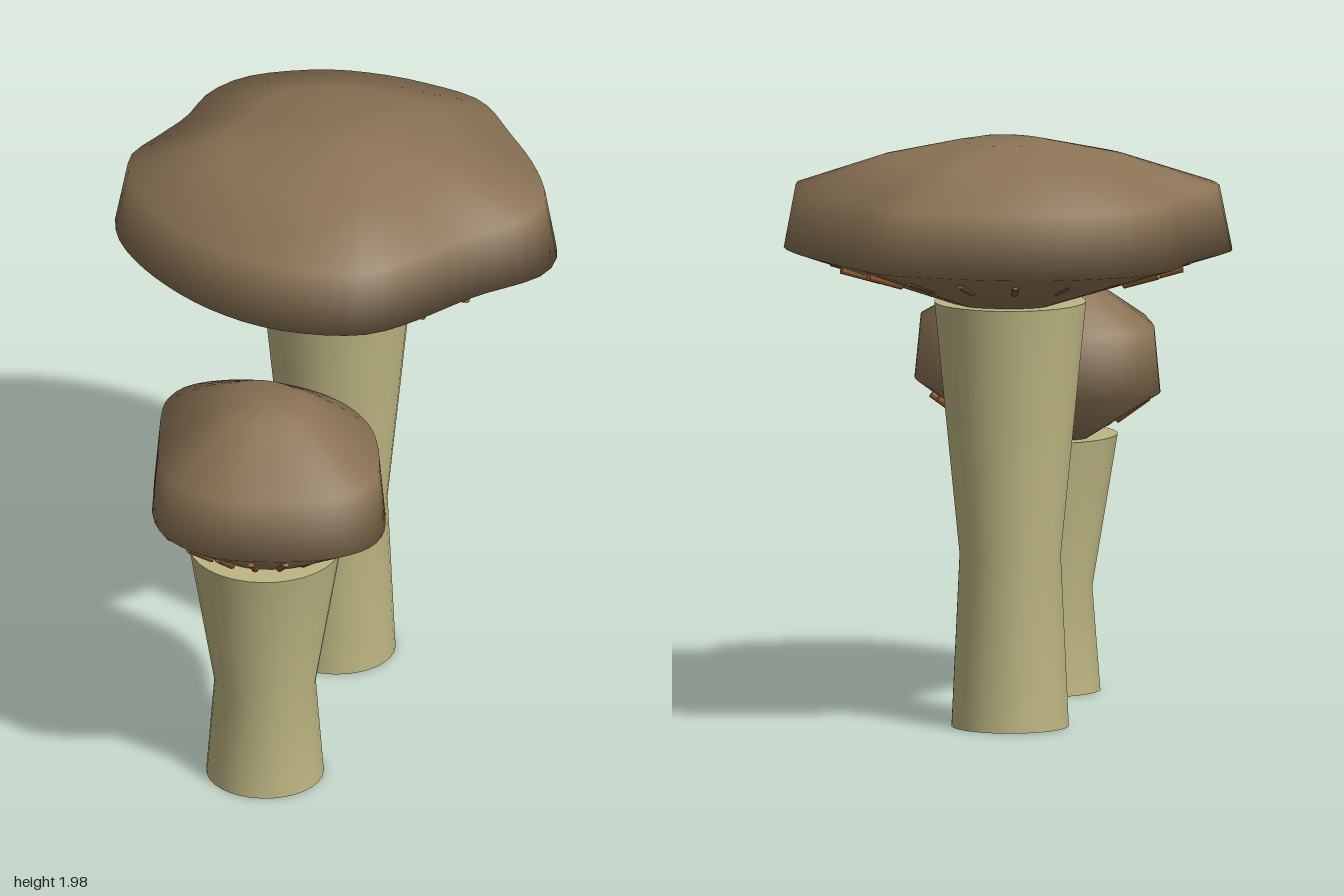
import * as THREE from 'three';

const capBrown = new THREE.MeshStandardMaterial({ color: 0x8b7355 });
capBrown.name = 'cap brown';
const stemCream = new THREE.MeshStandardMaterial({ color: 0xbdb582 });
stemCream.name = 'stem cream';
const gillRust = new THREE.MeshStandardMaterial({ color: 0x8b5a2b });
gillRust.name = 'gill rust';

const SEGMENTS = 64;

// Wavy cap: one rim outline (x, z about the cap centre), scaled at each height of the profile
function capGeometry(outline, [cx, cz], profile) {
  const curve = new THREE.CatmullRomCurve3(
    outline.map(([x, z]) => new THREE.Vector3(x - cx, 0, z - cz)), true);
  const rim = curve.getSpacedPoints(SEGMENTS).slice(0, SEGMENTS);
  const positions = [];
  const index = [];
  for (const [scale, y] of profile) {
    for (const p of rim) positions.push(p.x * scale, y, p.z * scale);
  }
  const last = profile.length - 1;
  const bottom = positions.length / 3;
  positions.push(0, profile[0][1], 0, 0, profile[last][1], 0);
  for (let i = 0; i < SEGMENTS; i++) {
    const n = (i + 1) % SEGMENTS;
    for (let j = 0; j < last; j++) {
      const a = j * SEGMENTS + i, b = j * SEGMENTS + n;
      const c = a + SEGMENTS, d = b + SEGMENTS;
      index.push(a, c, b, b, c, d);
    }
    index.push(bottom, i, n);
    index.push(bottom + 1, last * SEGMENTS + n, last * SEGMENTS + i);
  }
  const geometry = new THREE.BufferGeometry();
  geometry.setAttribute('position', new THREE.Float32BufferAttribute(positions, 3));
  geometry.setIndex(index);
  geometry.computeVertexNormals();
  return geometry;
}

function addMesh(parent, name, geometry, material) {
  const mesh = new THREE.Mesh(geometry, material);
  mesh.name = name;
  parent.add(mesh);
  return mesh;
}

function mushroom(name, spec) {
  const group = new THREE.Group();
  group.name = name;

  // Waisted stem with closed ends
  const stem = new THREE.Group();
  stem.name = 'stem';
  stem.position.set(spec.stemCentre[0], 0, spec.stemCentre[1]);
  const wall = [[0.197, 0], [0.17, spec.waist], [0.255, spec.stemTop]];
  addMesh(stem, 'stemWall', new THREE.LatheGeometry(
    wall.map(([r, y]) => new THREE.Vector2(r, y)), 32), stemCream);
  addMesh(stem, 'stemTop', new THREE.CircleGeometry(0.255, 32)
    .rotateX(-Math.PI / 2).translate(0, spec.stemTop, 0), stemCream);
  addMesh(stem, 'stemBase', new THREE.CircleGeometry(0.197, 32)
    .rotateX(Math.PI / 2), stemCream);
  group.add(stem);

  const cap = addMesh(group, 'cap',
    capGeometry(spec.outline, spec.capCentre, spec.profile), capBrown);
  cap.position.set(spec.capCentre[0], 0, spec.capCentre[1]);

  // Ring of thin gill rods, sloping outward under the cap
  const gills = new THREE.Group();
  gills.name = 'gills';
  gills.position.set(spec.stemCentre[0], 0, spec.stemCentre[1]);
  const [inner, outer] = spec.gill.map(([r, y]) => new THREE.Vector3(r, y, 0));
  const rod = new THREE.TubeGeometry(new THREE.LineCurve3(inner, outer), 1, 0.012, 8);
  for (let i = 0; i < 20; i++) {
    addMesh(gills, 'gill', rod, gillRust).rotation.y = (i / 20) * Math.PI * 2;
  }
  // Closed rod tips
  const along = outer.clone().sub(inner).normalize();
  const tip = new THREE.CircleGeometry(0.012, 8);
  for (const gill of [...gills.children]) {
    for (const [end, sign] of [[inner, -1], [outer, 1]]) {
      const disc = addMesh(gill, 'gillTip', tip, gillRust);
      disc.position.copy(end);
      disc.quaternion.setFromUnitVectors(
        new THREE.Vector3(0, 0, 1), along.clone().multiplyScalar(sign));
    }
  }
  group.add(gills);
  return group;
}

export function createModel() {
  const model = new THREE.Group();
  model.name = 'mushrooms';

  model.add(mushroom('tallMushroom', {
    stemCentre: [-0.025, -0.285],
    stemTop: 1.435,
    waist: 0.58,
    capCentre: [0, -0.29],
    profile: [[0.27, 1.435], [1, 1.605], [0.945, 1.82], [0.55, 1.92], [0.2, 1.977]],
    outline: [
      [-0.02, -1.0], [0.21, -0.97], [0.4, -0.81], [0.61, -0.6], [0.725, -0.42],
      [0.73, -0.29], [0.585, -0.06], [0.46, 0.2], [0.37, 0.32], [0.19, 0.4],
      [0, 0.42], [-0.235, 0.37], [-0.5, 0.23], [-0.67, 0.07], [-0.74, -0.09],
      [-0.71, -0.265], [-0.68, -0.42], [-0.68, -0.61], [-0.61, -0.77],
      [-0.39, -0.93], [-0.21, -0.985],
    ],
    gill: [[0.46, 1.525], [0.6, 1.567]],
  }));

  model.add(mushroom('shortMushroom', {
    stemCentre: [0.115, 0.575],
    stemTop: 0.865,
    waist: 0.35,
    capCentre: [0.12, 0.575],
    profile: [[0.4, 0.865], [1, 1.035], [0.95, 1.25], [0.345, 1.41]],
    outline: [
      [0.05, 0.15], [0.24, 0.19], [0.395, 0.3], [0.515, 0.48], [0.57, 0.62],
      [0.565, 0.72], [0.48, 0.84], [0.29, 0.95], [0.1, 1.0], [-0.08, 0.94],
      [-0.18, 0.83], [-0.235, 0.71], [-0.31, 0.53], [-0.335, 0.43],
      [-0.31, 0.31], [-0.16, 0.19],
    ],
    gill: [[0.26, 0.92], [0.37, 1.0]],
  }));

  return model;
}
